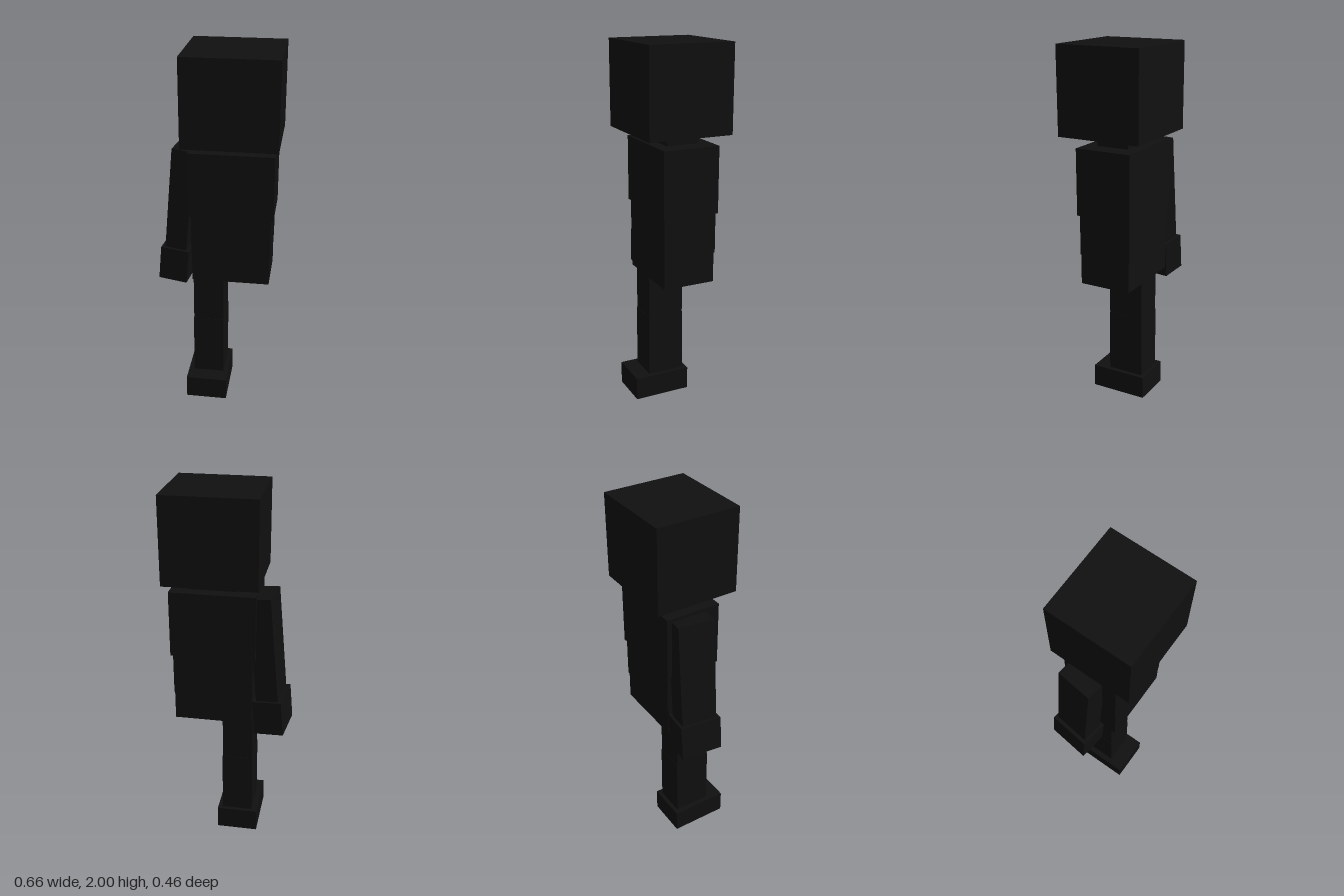
import * as THREE from 'three';

export function createModel() {
  const model = new THREE.Group();
  model.name = 'blockFigure';
  const charcoal = new THREE.MeshStandardMaterial({ color: 0x101010 });
  charcoal.name = 'charcoal';

  // Box from its limits along each axis
  function block(name, [x0, x1], [y0, y1], [z0, z1], parent = model) {
    const mesh = new THREE.Mesh(new THREE.BoxGeometry(x1 - x0, y1 - y0, z1 - z0), charcoal);
    mesh.name = name;
    mesh.position.set((x0 + x1) / 2, (y0 + y1) / 2, (z0 + z1) / 2);
    parent.add(mesh);
    return mesh;
  }

  // Head and neck
  block('head', [-0.165, 0.33], [1.54, 2], [-0.232, 0.23]);
  block('neck', [-0.04, 0.205], [1.47, 1.56], [-0.105, 0.075]);

  // Torso, slightly narrower towards the hips
  block('chest', [-0.145, 0.308], [1.13, 1.486], [-0.17, 0.14]);
  block('waist', [-0.13, 0.295], [0.91, 1.13], [-0.163, 0.132]);
  block('pelvis', [-0.127, 0.293], [0.747, 0.91], [-0.157, 0.13]);

  // Single right leg
  block('thigh', [-0.125, 0.042], [0.48, 0.76], [-0.1, 0.103]);
  block('shin', [-0.127, 0.044], [0.12, 0.48], [-0.102, 0.105]);
  block('foot', [-0.158, 0.07], [0, 0.128], [-0.125, 0.195]);

  // Single right arm, swung out and turned a little
  const arm = new THREE.Group();
  arm.name = 'rightArm';
  arm.position.set(-0.17, 1.468, -0.045);
  arm.rotation.set(0, -0.12, -0.088);
  block('sleeve', [-0.06, 0.06], [-0.585, 0], [-0.1, 0.1], arm);
  block('hand', [-0.08, 0.08], [-0.777, -0.582], [-0.116, 0.116], arm);
  model.add(arm);

  return model;
}
